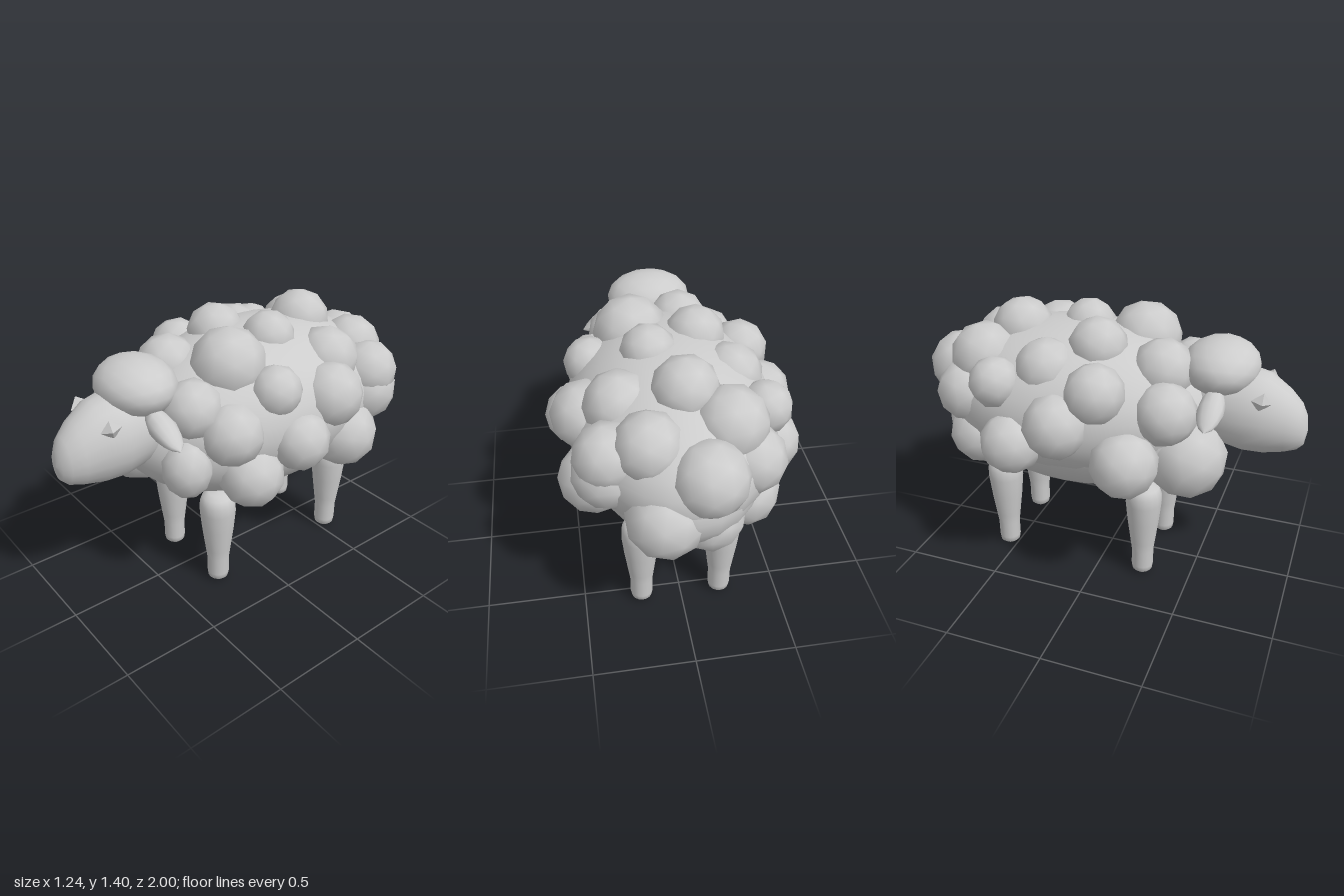
import * as THREE from 'three';

const grey = new THREE.MeshStandardMaterial({ color: 0xcccccc });
grey.name = 'pale grey';

function add(parent, name, geometry, position = [0, 0, 0], scale = [1, 1, 1]) {
  const mesh = new THREE.Mesh(geometry, grey);
  mesh.name = name;
  mesh.position.set(...position);
  mesh.scale.set(...scale);
  parent.add(mesh);
  return mesh;
}

// Elliptical rings along z, rows of [z, centre y, half width, half height], z rising
function loft(rows, sides) {
  const pos = [], idx = [];
  for (const [z, cy, rx, ry] of rows) {
    for (let j = 0; j < sides; j++) {
      const a = (j / sides) * Math.PI * 2;
      pos.push(rx * Math.cos(a), cy + ry * Math.sin(a), z);
    }
  }
  for (let i = 0; i < rows.length - 1; i++) {
    for (let j = 0; j < sides; j++) {
      const k = (j + 1) % sides;
      const a = i * sides + j, b = i * sides + k;
      idx.push(a, b, a + sides, b, b + sides, a + sides);
    }
  }
  const g = new THREE.BufferGeometry();
  g.setAttribute('position', new THREE.Float32BufferAttribute(pos, 3));
  g.setIndex(idx);
  g.computeVertexNormals();
  return g;
}

// Wool puffs: x, y, z, radius
const topPuffs = [
  [-0.02, 1.24, -0.48, 0.16], [-0.2, 1.13, -0.61, 0.18], [0.17, 1.1, -0.68, 0.165],
  [0.27, 1.13, -0.4, 0.17], [0.1, 1.25, -0.16, 0.14], [-0.15, 1.24, -0.02, 0.15],
  [0.15, 1.2, 0.13, 0.19], [-0.12, 1.15, 0.3, 0.16], [-0.28, 1.14, -0.24, 0.16],
  [0.2, 1.06, 0.38, 0.15],
];
const leftPuffs = [
  [0.35, 1.03, -0.63, 0.16], [0.37, 1.11, 0.02, 0.13], [0.46, 0.86, -0.06, 0.155],
  [0.42, 1.02, -0.29, 0.17], [0.35, 0.93, -0.62, 0.17], [0.4, 0.75, -0.43, 0.18],
  [0.38, 0.71, 0.17, 0.165], [0.34, 0.95, 0.26, 0.16],
];
const rightPuffs = [
  [-0.4, 1.09, -0.46, 0.13], [-0.46, 0.81, -0.36, 0.16], [-0.39, 1.1, 0.05, 0.15],
  [-0.46, 0.94, -0.12, 0.165], [-0.43, 0.78, 0.21, 0.17], [-0.28, 1.0, 0.36, 0.16],
  [-0.29, 0.97, -0.67, 0.165], [-0.28, 0.74, -0.62, 0.17],
];
const endPuffs = [
  [0.12, 0.8, -0.815, 0.185], [-0.07, 1.01, -0.82, 0.18], [-0.09, 0.72, -0.74, 0.17],
  [-0.2, 0.745, 0.455, 0.205],
];

export function createModel() {
  const model = new THREE.Group();
  model.name = 'sheep';

  // Body
  const oval = new THREE.SphereGeometry(1, 28, 18);
  add(model, 'body', oval, [0, 0.85, -0.16], [0.47, 0.405, 0.79]);

  // Wool: a full fleece with puffs on it, each turned differently
  const wool = new THREE.Group();
  wool.name = 'wool';
  model.add(wool);
  add(wool, 'fleece', oval, [0, 0.91, -0.18], [0.515, 0.4, 0.765]);
  const puff = new THREE.IcosahedronGeometry(1, 1);
  [...topPuffs, ...leftPuffs, ...rightPuffs, ...endPuffs].forEach(([x, y, z, r], i) => {
    add(wool, 'woolPuff', puff, [x, y, z], [r, r, r]).rotation.set(i * 1.3, i * 2.1, i * 0.7);
  });
  add(wool, 'chestPuff', puff, [0.255, 0.795, 0.46], [0.125, 0.15, 0.125]);

  // Head, with a woolly forelock
  const head = new THREE.Group();
  head.name = 'head';
  model.add(head);
  add(head, 'face', loft([
    [0.38, 0.98, 0.001, 0.001], [0.42, 0.98, 0.12, 0.13], [0.55, 0.97, 0.175, 0.19],
    [0.7, 0.96, 0.185, 0.215], [0.8, 0.95, 0.165, 0.205], [0.9, 0.925, 0.13, 0.16],
    [0.96, 0.905, 0.092, 0.12], [0.99, 0.89, 0.055, 0.075], [1.0, 0.885, 0.001, 0.001],
  ], 20));
  add(head, 'forelock', new THREE.IcosahedronGeometry(1, 2), [0, 1.17, 0.56], [0.225, 0.137, 0.19]);

  // Ears and eyes
  const earRows = [
    [0.1, 1.07, 0.02, 0.03], [0.16, 1.06, 0.045, 0.055], [0.2, 1.045, 0.06, 0.064],
    [0.26, 1.03, 0.064, 0.056], [0.31, 1.01, 0.052, 0.04], [0.345, 0.994, 0.034, 0.02],
    [0.37, 0.98, 0.002, 0.002],
  ];
  const eye = new THREE.OctahedronGeometry(1);
  for (const s of [1, -1]) {
    const name = s > 0 ? 'left' : 'right';
    add(head, name + 'Ear', loft(earRows, 12).rotateY((s * Math.PI) / 2), [0, 0, 0.57]);
    const e = add(head, name + 'Eye', eye, [s * 0.152, 1.07, 0.785], [0.03, 0.05, 0.05]);
    e.rotation.set(0.2, -s * 0.3, 0);
  }

  // Legs
  const legProfile = [
    [0, 0], [0.035, 0.004], [0.053, 0.02], [0.058, 0.05], [0.058, 0.14], [0.066, 0.2],
    [0.083, 0.33], [0.094, 0.44], [0.092, 0.49], [0.078, 0.53], [0.045, 0.547], [0, 0.55],
  ].map(([r, y]) => new THREE.Vector2(r, y));
  const leg = new THREE.LatheGeometry(legProfile, 16);
  for (const [name, z] of [['frontLeg', 0.245], ['backLeg', -0.55]]) {
    for (const s of [1, -1]) add(model, name, leg, [s * 0.205, 0, z]);
  }
  return model;
}
